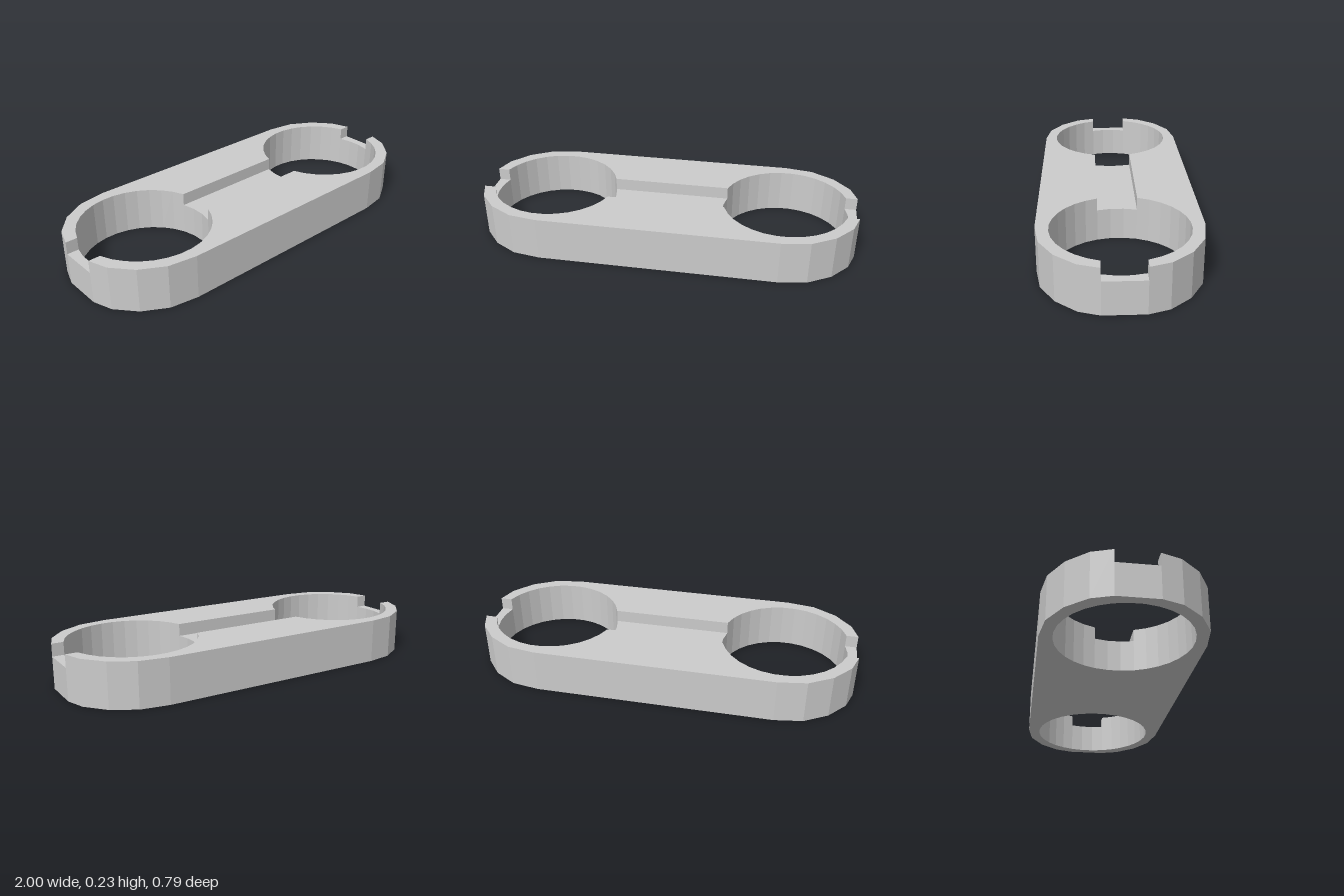
import * as THREE from 'three';

const HEIGHT = 0.23, SLOT_FLOOR = 0.165, SLOT = 0.1; // SLOT is the half width
const HOLE_X = 0.625, HOLE_R = 0.33;
const A = Math.asin(SLOT / HOLE_R); // where the slot meets a hole

// Points of a hole's rim between two angles
function arc(cx, from, to, n) {
  return Array.from({ length: n + 1 }, (_, i) => {
    const t = from + (to - from) * i / n;
    const end = i === 0 || i === n;
    const y = end ? Math.sign(Math.sin(t)) * SLOT : HOLE_R * Math.sin(t);
    return [cx + HOLE_R * Math.cos(t), y];
  });
}

// Upright prism over a counter-clockwise plan; walls along the slot edge
// exist only above the slot floor, so no faces are buried inside
function prism(name, plan, height) {
  const pos = [];
  const pts = plan.map(([x, y]) => new THREE.Vector2(x, y));
  const put = (p, z) => pos.push(p.x, p.y, z);
  for (const [i, j, k] of THREE.ShapeUtils.triangulateShape(pts, [])) {
    put(pts[i], height); put(pts[j], height); put(pts[k], height);
    put(pts[k], 0); put(pts[j], 0); put(pts[i], 0);
  }
  pts.forEach((a, i) => {
    const b = pts[(i + 1) % pts.length];
    const seam = Math.abs(Math.abs(a.y) - SLOT) < 1e-6 && Math.abs(a.y - b.y) < 1e-6;
    const base = seam ? SLOT_FLOOR : 0;
    if (base >= height) return;
    put(a, base); put(b, base); put(b, height);
    put(a, base); put(b, height); put(a, height);
  });
  const geo = new THREE.BufferGeometry();
  geo.setAttribute('position', new THREE.Float32BufferAttribute(pos, 3));
  geo.rotateX(-Math.PI / 2);
  geo.computeVertexNormals();
  const mesh = new THREE.Mesh(geo, new THREE.MeshStandardMaterial({ color: 0xcccccc, flatShading: true }));
  mesh.name = name;
  return mesh;
}

export function createModel() {
  const group = new THREE.Group();
  group.name = 'twoHoleLink';

  // Faceted outer corner, from the slot to the straight side
  const corner = [[1, SLOT], [0.966, 0.2], [0.88, 0.3], [0.76, 0.37], [0.615, 0.393]];
  const railPlan = [
    ...corner,
    ...corner.map(([x, y]) => [-x, y]).reverse(),
    ...arc(-HOLE_X, Math.PI - A, A, 13),
    ...arc(HOLE_X, Math.PI - A, A, 13),
  ];
  const endPlan = [[1, -SLOT], [1, SLOT], ...arc(HOLE_X, A, -A, 3)];

  // Full-height rails and lowered end bridges, repeated by a half turn
  for (const [side, turn] of [['A', 0], ['B', Math.PI]]) {
    const rail = prism('rail' + side, railPlan, HEIGHT);
    const bridge = prism('endBridge' + side, endPlan, SLOT_FLOOR);
    rail.rotation.y = bridge.rotation.y = turn;
    group.add(rail, bridge);
  }

  // Slot floor between the two holes
  const centrePlan = [
    ...arc(HOLE_X, Math.PI + A, Math.PI - A, 3),
    ...arc(-HOLE_X, A, -A, 3),
  ];
  group.add(prism('centreWeb', centrePlan, SLOT_FLOOR));
  return group;
}
